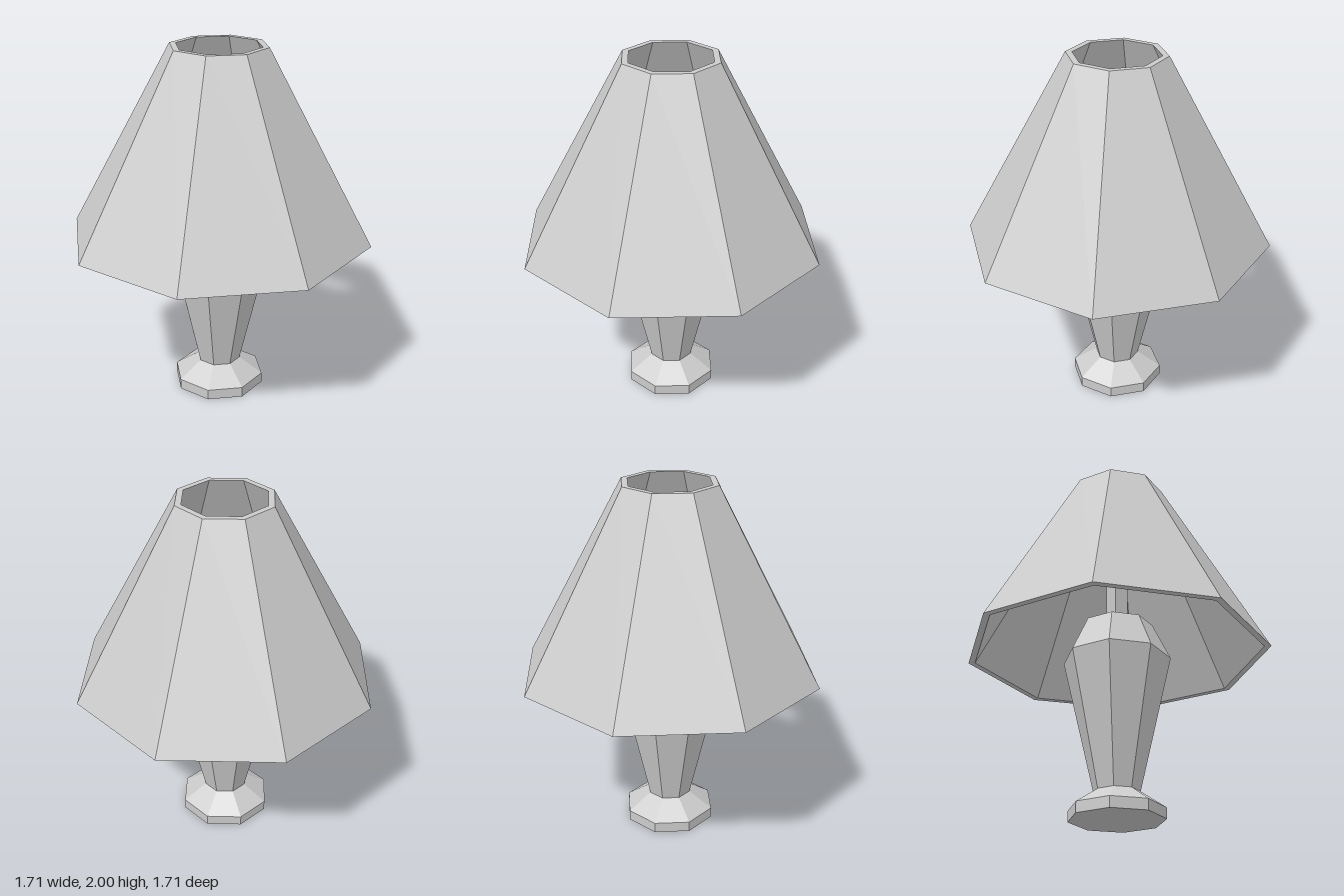
import * as THREE from 'three';

const material = new THREE.MeshStandardMaterial({ color: 0xcccccc, flatShading: true });

// Faceted solid of revolution; profile points are [radius, height], with a corner on each axis
function turned(name, profile, sides = 8) {
  const points = profile.map(([r, y]) => new THREE.Vector2(r, y));
  const mesh = new THREE.Mesh(new THREE.LatheGeometry(points, sides), material);
  mesh.name = name;
  return mesh;
}

export function createModel() {
  const lamp = new THREE.Group();
  lamp.name = 'tableLamp';

  // Octagonal foot with a sloping top
  lamp.add(turned('foot', [[0, 0], [0.26, 0], [0.26, 0.06], [0.125, 0.15], [0, 0.15]]));

  // Body widening upwards to a bevelled shoulder
  lamp.add(turned('body', [[0, 0.15], [0.125, 0.15], [0.3, 0.9], [0.2, 1.11], [0, 1.11]]));

  // Square stem inside the shade
  lamp.add(turned('stem', [[0, 1.11], [0.06, 1.11], [0.06, 1.55], [0, 1.55]], 4));

  // Thick-walled shade, open at both ends
  lamp.add(turned('shade', [[0.815, 0.94], [0.853, 0.94], [0.27, 2], [0.235, 2], [0.815, 0.94]]));

  return lamp;
}
